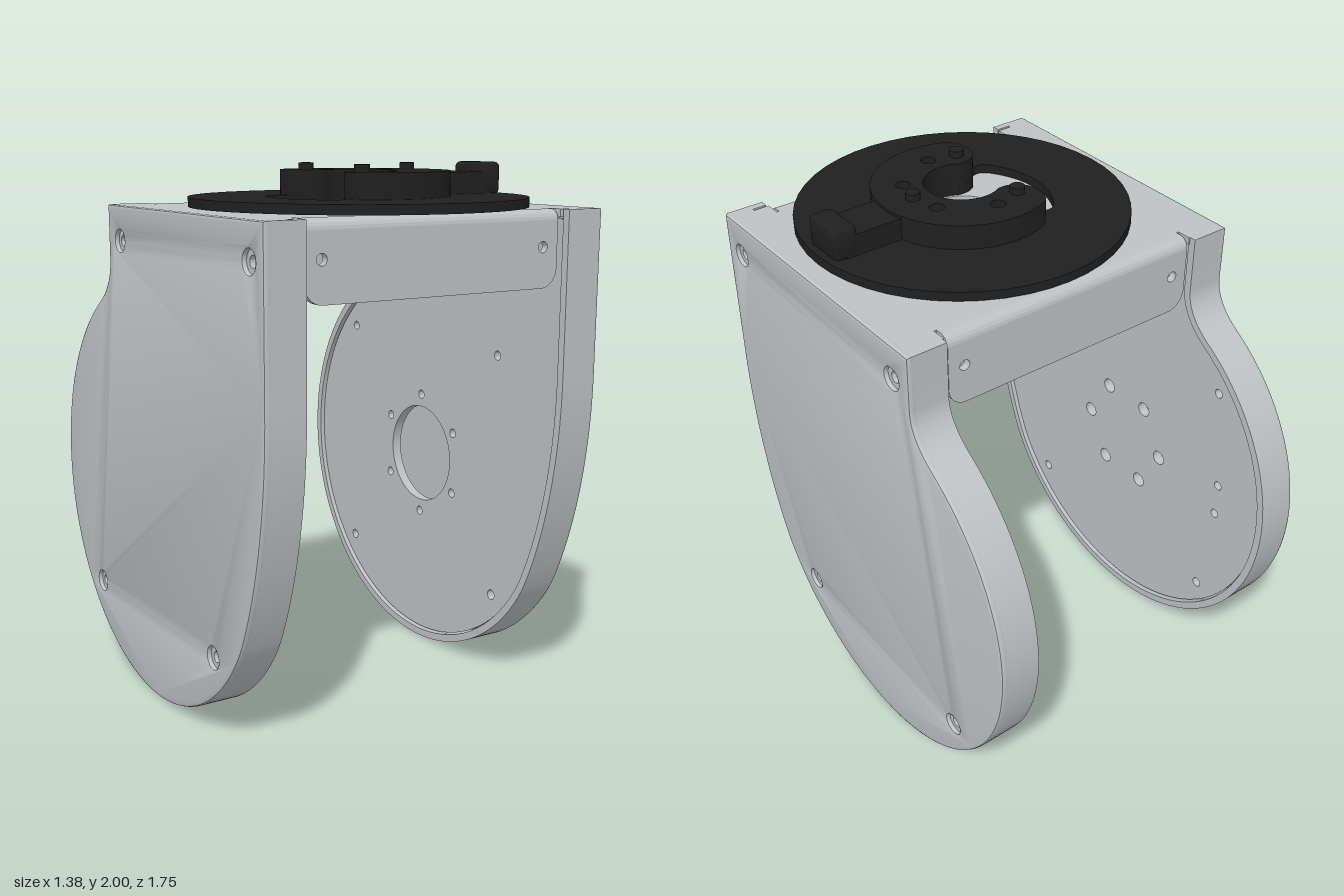
import * as THREE from 'three';
import { toCreasedNormals } from 'three/addons/utils/BufferGeometryUtils.js';
import { RoundedBoxGeometry } from 'three/addons/geometries/RoundedBoxGeometry.js';

const RAD = Math.PI / 180;
const grey = new THREE.MeshStandardMaterial({ color: 0xbec2c4 });
grey.name = 'light grey metal';
const black = new THREE.MeshStandardMaterial({ color: 0x202020 });
black.name = 'black plastic';

const V = (x, y) => new THREE.Vector2(x, y);

function extrude(shape, depth, bevel = 0) {
  return new THREE.ExtrudeGeometry(shape, {
    depth: depth - 2 * bevel, curveSegments: 24, bevelEnabled: bevel > 0,
    bevelThickness: bevel, bevelSize: bevel, bevelOffset: -bevel, bevelSegments: 2,
  }).translate(0, 0, bevel);
}

// Shape drawn in (-z, y), extruded from x0 to x1
function alongX(shape, x0, x1, bevel = 0) {
  return extrude(shape, x1 - x0, bevel).rotateY(Math.PI / 2).translate(x0, 0, 0);
}

// Shape drawn in (x, -z), extruded from y0 to y1
function alongY(shape, y0, y1, bevel = 0) {
  return extrude(shape, y1 - y0, bevel).rotateX(-Math.PI / 2).translate(0, y0, 0);
}

function add(group, name, geometry, material) {
  const mesh = new THREE.Mesh(toCreasedNormals(geometry, 0.5), material);
  mesh.name = name;
  group.add(mesh);
  return mesh;
}

function punch(shape, x, y, r) {
  shape.holes.push(new THREE.Path().absarc(x, y, r, 0, Math.PI * 2, true));
}

// Side outline in (-z, y): straight front, round belly, necked back
function sideOutline() {
  const s = new THREE.Shape();
  s.moveTo(-0.79, 1.845);
  s.lineTo(-0.79, 1.25);
  s.bezierCurveTo(-0.79, 0.86, -0.69, 0.56, -0.608, 0.3975);
  s.absarc(0.08, 0.795, 0.795, -150 * RAD, 58.3 * RAD, false);
  s.quadraticCurveTo(0.39, 1.543, 0.39, 1.64);
  s.lineTo(0.39, 1.845);
  return s.getPoints(32).filter((p, i, a) => i === 0 || p.distanceTo(a[i - 1]) > 1e-3);
}

// Moves each point of a counter-clockwise outline inwards
function inset(points, d) {
  const n = points.length;
  return points.map((p, i) => {
    const a = p.clone().sub(points[(i + n - 1) % n]).normalize();
    const b = points[(i + 1) % n].clone().sub(p).normalize();
    const k = d / (1 + a.dot(b));
    return V(p.x - (a.y + b.y) * k, p.y + (a.x + b.x) * k);
  });
}

const SCREWS = [[-0.695, 1.715], [0.29, 1.715], [-0.405, 0.315], [0.57, 0.315]];

function sideCover(side) {
  const g = new THREE.Group();
  g.name = side > 0 ? 'leftCover' : 'rightCover';
  const outline = sideOutline();
  const inner = inset(outline, 0.03);
  const put = (name, shape, x0, x1, bevel) =>
    add(g, name, side > 0 ? alongX(shape, x0, x1, bevel) : alongX(shape, -x1, -x0, bevel), grey);

  // Outer face with countersunk screw holes
  const skin = new THREE.Shape(outline);
  const backing = new THREE.Shape(outline);
  for (const [x, y] of SCREWS) {
    punch(skin, x, y, 0.04);
    punch(backing, x, y, 0.02);
  }
  put('coverFace', skin, 0.655, 0.69, 0.012);
  put('coverBacking', backing, 0.64, 0.672);

  // Surrounding wall; its inner half is open at the top for the bracket
  const ring = new THREE.Shape(outline);
  ring.holes.push(new THREE.Path(inner.slice().reverse()));
  put('coverWall', ring, 0.59, 0.64);
  const first = V(inner[0].x, 1.845), last = V(inner[inner.length - 1].x, 1.845);
  put('coverLip', new THREE.Shape([...outline, last, ...inner.slice().reverse(), first]), 0.535, 0.59);

  // Inner bracket plate with its hole pattern
  const plate = new THREE.Shape(inset(outline, 0.036));
  const cx = 0.08, cy = 0.795;
  for (const [x, y] of SCREWS) punch(plate, x, y, 0.02);
  for (const x of [-0.405, 0.57]) punch(plate, x, 1.275, 0.018);
  if (side > 0) {
    punch(plate, cx, cy, 0.2);
    for (let i = 0; i < 6; i++) {
      const a = (90 + 60 * i) * RAD;
      punch(plate, cx + 0.25 * Math.cos(a), cy + 0.25 * Math.sin(a), 0.018);
    }
  } else {
    for (let i = 0; i < 6; i++) {
      const a = 60 * i * RAD;
      punch(plate, cx + 0.21 * Math.cos(a), cy + 0.21 * Math.sin(a), 0.03);
    }
    for (const y of [0.725, 0.865]) punch(plate, 0.62, y, 0.018);
    // Slanted cable slot
    const t = Math.atan2(0.2, 0.21), h = Math.PI / 2;
    const slot = new THREE.Path();
    slot.absarc(-0.63, 1.36, 0.03, t + h, t + 3 * h, false);
    slot.absarc(-0.42, 1.56, 0.03, t - h, t + h, false);
    slot.closePath();
    plate.holes.push(slot);
  }
  put('bracketSidePlate', plate, 0.55, 0.59);
  return g;
}

function bracket() {
  const g = new THREE.Group();
  g.name = 'bracket';
  // Top plate with centre bore
  const top = new THREE.Shape([V(-0.52, -0.71), V(0.52, -0.71), V(0.52, 0.33), V(-0.52, 0.33)]);
  punch(top, 0, -0.265, 0.14);
  add(g, 'topPlate', alongY(top, 1.817, 1.845), grey);
  for (const s of [1, -1]) {
    add(g, 'topWing', new THREE.BoxGeometry(0.06, 0.028, 1.115).translate(s * 0.56, 1.831, 0.1925), grey);
    add(g, 'wingBridge', new THREE.BoxGeometry(0.012, 0.028, 1).translate(s * 0.525, 1.831, 0.19), grey);
  }
  // Front and back flanges with rounded bends
  for (const [name, z, a] of [['front', 0.71, 90], ['back', -0.33, 0]]) {
    const bend = new THREE.Shape();
    bend.absarc(-z, 1.805, 0.04, a * RAD, (a + 90) * RAD, false);
    bend.absarc(-z, 1.805, 0.012, (a + 90) * RAD, a * RAD, true);
    bend.closePath();
    add(g, name + 'Bend', alongX(bend, -0.52, 0.52), grey);
    const f = new THREE.Shape();
    f.moveTo(-0.52, 1.805);
    f.lineTo(-0.52, 1.64);
    f.absarc(-0.45, 1.64, 0.07, Math.PI, 1.5 * Math.PI, false);
    f.absarc(0.45, 1.64, 0.07, -Math.PI / 2, 0, false);
    f.lineTo(0.52, 1.805);
    for (const x of [-0.455, 0.455]) punch(f, x, 1.715, 0.02);
    add(g, name + 'Flange', extrude(f, 0.028).translate(0, 0, name === 'front' ? 0.722 : -0.37), grey);
  }
  return g;
}

function turntable() {
  const g = new THREE.Group();
  g.name = 'turntable';
  g.position.z = 0.265;
  const ends = 120 * RAD;

  // Disc with a bore that opens into a kidney-shaped window
  const disc = new THREE.Shape().absarc(0, 0, 0.61, 0, Math.PI * 2, false);
  disc.curveSegments = 64;
  const opening = new THREE.Path();
  opening.absarc(0, 0, 0.14, -ends, ends, false);
  opening.bezierCurveTo(-0.12, 0.115, -0.15, 0.13, -0.172, 0.175);
  opening.bezierCurveTo(-0.19, 0.215, -0.225, 0.235, -0.26, 0.203);
  opening.absarc(0, 0, 0.33, 142 * RAD, 218 * RAD, false);
  opening.bezierCurveTo(-0.225, -0.235, -0.19, -0.215, -0.172, -0.175);
  opening.bezierCurveTo(-0.15, -0.13, -0.12, -0.115, -0.07, -0.121);
  disc.holes.push(opening);

  // Raised C-shaped hub
  const hub = new THREE.Shape();
  hub.absarc(0, 0, 0.33, -115 * RAD, 115 * RAD, false);
  hub.bezierCurveTo(-0.17, 0.285, -0.185, 0.225, -0.172, 0.175);
  hub.bezierCurveTo(-0.15, 0.13, -0.12, 0.115, -0.07, 0.121);
  hub.absarc(0, 0, 0.14, ends, -ends, true);
  hub.bezierCurveTo(-0.12, -0.115, -0.15, -0.13, -0.172, -0.175);
  hub.bezierCurveTo(-0.185, -0.225, -0.17, -0.285, -0.139, -0.299);

  // Through holes
  for (const a of [-90, -30, 30, 90]) {
    const x = 0.213 * Math.cos(a * RAD), y = 0.213 * Math.sin(a * RAD);
    punch(disc, x, y, 0.028);
    punch(hub, x, y, 0.028);
  }
  add(g, 'disc', alongY(disc, 1.85, 1.884), black);
  add(g, 'hub', alongY(hub, 1.88, 1.975), black);

  // Pegs, arm and end knob
  for (const a of [0, 120, 240]) {
    const peg = new THREE.CylinderGeometry(0.027, 0.027, 0.04, 24);
    add(g, 'peg', peg.translate(0.213 * Math.cos(a * RAD), 1.98, 0.213 * Math.sin(a * RAD)), black);
  }
  add(g, 'arm', new THREE.BoxGeometry(0.24, 0.085, 0.165).translate(0.42, 1.9225, 0), black);
  add(g, 'knob', new RoundedBoxGeometry(0.095, 0.12, 0.17, 3, 0.02).translate(0.54, 1.94, 0), black);
  return g;
}

export function createModel() {
  const model = new THREE.Group();
  model.name = 'rotatingBracket';
  model.add(sideCover(1), sideCover(-1), bracket(), turntable());
  return model;
}
